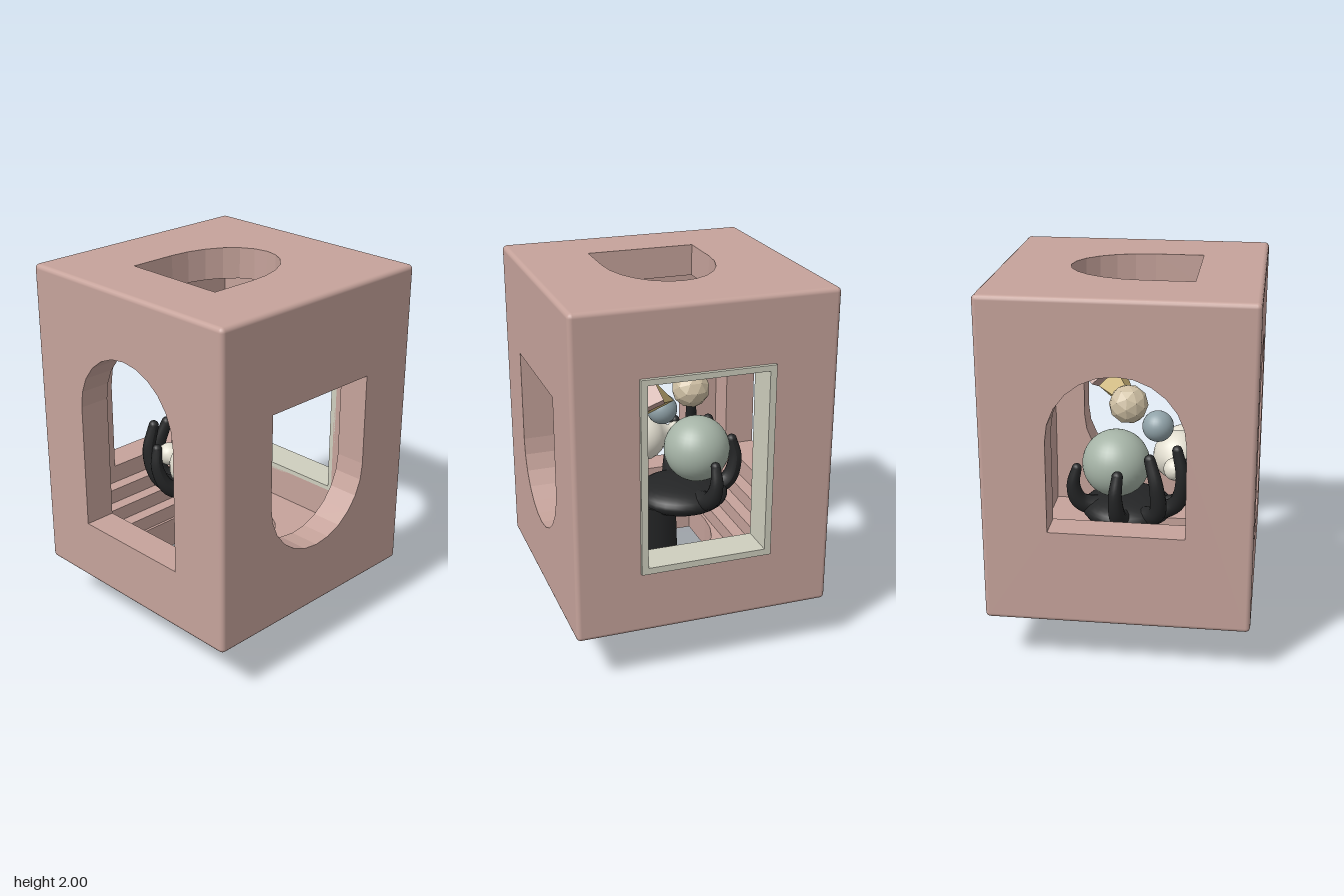
import * as THREE from 'three';
import { ConvexGeometry } from 'three/addons/geometries/ConvexGeometry.js';

const V = (x, y, z) => new THREE.Vector3(x, y, z);
const mat = (color, flatShading = false) => new THREE.MeshStandardMaterial({ color, flatShading });
const PINK = mat(0xc6a39b), FRAME = mat(0xcfcfbf), BLACK = mat(0x242526), CREAM = mat(0xe2deD0);
const X0 = -0.7, X1 = 0.68, Y0 = 0.27, Y1 = 2, Z = 0.69, T = 0.17, R = 0.025;

function add(parent, name, geometry, material, x = 0, y = 0, z = 0) {
  const m = new THREE.Mesh(geometry, material);
  m.name = name;
  m.position.set(x, y, z);
  parent.add(m);
  return m;
}

const rect = (a, b, c, d) => [[a, c], [b, c], [b, d], [a, d]].map(p => new THREE.Vector2(...p));

// Arch outline: flat end at t0, rounded end at t1, spanning u0..u1
function arch(u0, u1, t0, t1, rise, sideways = false) {
  const pts = [[u0, t0]], c = (u0 + u1) / 2, w = (u1 - u0) / 2, s = Math.sign(t1 - t0);
  for (let i = 0; i <= 12; i++) {
    const a = Math.PI * (1 - i / 12);
    pts.push([c + w * Math.cos(a), t1 - s * rise * (1 - Math.sin(a))]);
  }
  pts.push([u1, t0]);
  return pts.map(([u, t]) => sideways ? new THREE.Vector2(t, u) : new THREE.Vector2(u, t));
}

function holed(outer, hole, depth) {
  const s = new THREE.Shape(outer);
  s.holes.push(new THREE.Path(hole));
  return new THREE.ExtrudeGeometry(s, { depth, bevelEnabled: false });
}

// Hollow box: six pierced walls, rounded edges and corners
function buildBox(root) {
  const box = new THREE.Group();
  box.name = 'hollowBox';
  root.add(box);
  const fb = rect(X0 + R, X1 - R, Y0 + R, Y1 - R);
  const side = rect(-Z + R, Z - R, Y0 + R, Y1 - R);
  const flat = rect(X0 + R, X1 - R, -Z + R, Z - R);
  const topHole = () => arch(-0.295, 0.295, -0.36, 0.31, 0.41, true);
  add(box, 'frontWall', holed(fb, arch(-0.36, 0.34, 1.48, 0.63, 0.35), T), PINK, 0, 0, Z - T);
  add(box, 'backWall', holed(fb, arch(-0.36, 0.34, 0.78, 1.62, 0.35), T), PINK, 0, 0, -Z);
  add(box, 'leftWall', holed(side, rect(-0.34, 0.34, 0.62, 1.64), T).rotateY(Math.PI / 2), PINK, X1 - T);
  add(box, 'rightWall', holed(side, arch(-0.35, 0.35, 0.61, 1.65, 0.35), T).rotateY(Math.PI / 2), PINK, X0);
  add(box, 'ceiling', holed(flat, topHole(), T).rotateX(-Math.PI / 2), PINK, 0, Y1 - T);
  add(box, 'floor', holed(flat, topHole(), T).rotateX(-Math.PI / 2), PINK, 0, Y0);

  const xs = [X0 + R, X1 - R], ys = [Y0 + R, Y1 - R], zs = [-Z + R, Z - R];
  const cx = (X0 + X1) / 2, cy = (Y0 + Y1) / 2;
  const rod = len => new THREE.CylinderGeometry(R, R, len, 16, 1, true);
  const wx = xs[1] - xs[0], wy = ys[1] - ys[0], wz = zs[1] - zs[0];
  for (const y of ys) for (const z of zs) add(box, 'edge', rod(wx).rotateZ(Math.PI / 2), PINK, cx, y, z);
  for (const x of xs) for (const z of zs) add(box, 'edge', rod(wy), PINK, x, cy, z);
  for (const x of xs) for (const y of ys) add(box, 'edge', rod(wz).rotateX(Math.PI / 2), PINK, x, y, 0);
  for (const x of xs) for (const y of ys) for (const z of zs)
    add(box, 'corner', new THREE.SphereGeometry(R, 16, 12), PINK, x, y, z);

  // Stairs along the back of the floor, repeated upside down on the ceiling front
  for (let i = 0; i < 3; i++) {
    const h = 0.08 * (3 - i), d = 0.07, z = -Z + T + d * (i + 0.5);
    const step = new THREE.BoxGeometry(X1 - X0 - 2 * T, h, d);
    add(box, 'floorStep', step, PINK, cx, Y0 + T + h / 2, z);
    add(box, 'ceilingStep', step, PINK, cx, Y1 - T - h / 2, -z);
  }

  // Window lining on the left wall
  const lining = holed(rect(-0.35, 0.35, 0.61, 1.65), rect(-0.315, 0.315, 0.645, 1.62), 0.19);
  add(box, 'windowFrame', lining.rotateY(Math.PI / 2), FRAME, 0.51);
}

// Tube along a curve whose radius shrinks toward a rounded tip
function finger(parent, name, points, r0, r1) {
  const curve = new THREE.CatmullRomCurve3(points.map(p => V(...p)));
  const N = 20, M = 12, g = new THREE.TubeGeometry(curve, N, r0, M);
  const p = g.attributes.position, v = V();
  for (let i = 0; i <= N; i++) {
    const c = curve.getPointAt(i / N), k = 1 + (r1 / r0 - 1) * i / N;
    for (let j = 0; j <= M; j++) {
      const n = i * (M + 1) + j;
      v.fromBufferAttribute(p, n).sub(c).multiplyScalar(k).add(c);
      p.setXYZ(n, v.x, v.y, v.z);
    }
  }
  g.computeVertexNormals();
  add(parent, name, g, BLACK);
  add(parent, name + 'Tip', new THREE.SphereGeometry(r1, 12, 10), BLACK, ...points.at(-1));
}

// Hand on a pointed arm
function buildHand(root) {
  const hand = new THREE.Group();
  hand.name = 'hand';
  root.add(hand);
  const arm = new THREE.CylinderGeometry(0.13, 0.145, 0.48, 6).rotateY(Math.PI / 6);
  const spike = new THREE.ConeGeometry(0.145, 0.2, 6).rotateX(Math.PI).rotateY(Math.PI / 6);
  add(hand, 'arm', arm, BLACK, 0.035, 0.44, 0.07);
  add(hand, 'armPoint', spike, BLACK, 0.035, 0.1, 0.07);
  add(hand, 'palm', new THREE.SphereGeometry(1, 28, 18).scale(0.25, 0.09, 0.26), BLACK, 0, 0.69, -0.11);
  finger(hand, 'thumb', [[0.1, 0.69, -0.14], [0.25, 0.74, -0.19], [0.285, 0.84, -0.21], [0.265, 0.94, -0.21]], 0.065, 0.027);
  finger(hand, 'indexFinger', [[-0.14, 0.69, -0.1], [-0.29, 0.76, -0.15], [-0.34, 0.88, -0.18], [-0.33, 0.99, -0.19]], 0.055, 0.027);
  finger(hand, 'middleFinger', [[-0.12, 0.69, -0.18], [-0.27, 0.77, -0.24], [-0.31, 0.93, -0.28], [-0.28, 1.09, -0.27]], 0.055, 0.028);
  finger(hand, 'ringFinger', [[-0.08, 0.69, -0.24], [-0.18, 0.75, -0.32], [-0.18, 0.9, -0.35], [-0.14, 1.05, -0.32]], 0.055, 0.03);
  finger(hand, 'littleFinger', [[0, 0.69, -0.26], [0.02, 0.74, -0.38], [0.03, 0.87, -0.42], [0.02, 0.98, -0.4]], 0.055, 0.03);
}

// Loose solids floating in the box
function buildSolids(root) {
  const solids = new THREE.Group();
  solids.name = 'solids';
  root.add(solids);
  add(solids, 'greenBall', new THREE.SphereGeometry(0.182, 32, 24), mat(0xa5b3a6), 0.055, 0.97, -0.18);
  add(solids, 'blueBall', new THREE.SphereGeometry(0.085, 28, 20), mat(0x90a2a8), -0.155, 1.14, -0.05);
  add(solids, 'facetedBall', new THREE.IcosahedronGeometry(0.105, 1), mat(0xcfc0a4, true), -0.01, 1.3, -0.165);

  // Three joined bulbs turned about the z axis
  const ball = (c, r, a, b) => Array.from({ length: 9 }, (_, i) => {
    const t = a + (b - a) * i / 8;
    return new THREE.Vector2(r * Math.sin(t), c - r * Math.cos(t));
  });
  const profile = [...ball(-0.17, 0.062, 0, 2.3), ...ball(0.035, 0.138, 0.55, 2.6), ...ball(0.26, 0.09, 0.85, Math.PI)];
  profile[0].x = profile.at(-1).x = 0;
  add(solids, 'gourd', new THREE.LatheGeometry(profile, 32).rotateX(Math.PI / 2), CREAM, -0.26, 0.945, 0);

  const pyramid = [[-0.07, 1.215, -0.09], [0.09, 1.41, 0.08], [0.185, 1.31, 0.08], [0.14, 1.215, 0.2], [0.035, 1.3, 0.22]];
  add(solids, 'pyramid', new ConvexGeometry(pyramid.map(p => V(...p))), mat(0xd2ba7c, true));

  const u = V(0.02, 0.07, -0.17).normalize();
  const n = V(0.68, 0.67, 0.36).normalize();
  const w = V().crossVectors(u, n).normalize();
  n.crossVectors(w, u);
  const block = add(solids, 'block', new THREE.BoxGeometry(0.185, 0.055, 0.185), PINK);
  block.quaternion.setFromRotationMatrix(new THREE.Matrix4().makeBasis(u, n, w));
  block.position.set(0.18, 1.385, 0.185).addScaledVector(n, -0.0275);
}

export function createModel() {
  const root = new THREE.Group();
  root.name = 'boxWithHandAndSolids';
  buildBox(root);
  buildHand(root);
  buildSolids(root);
  return root;
}
